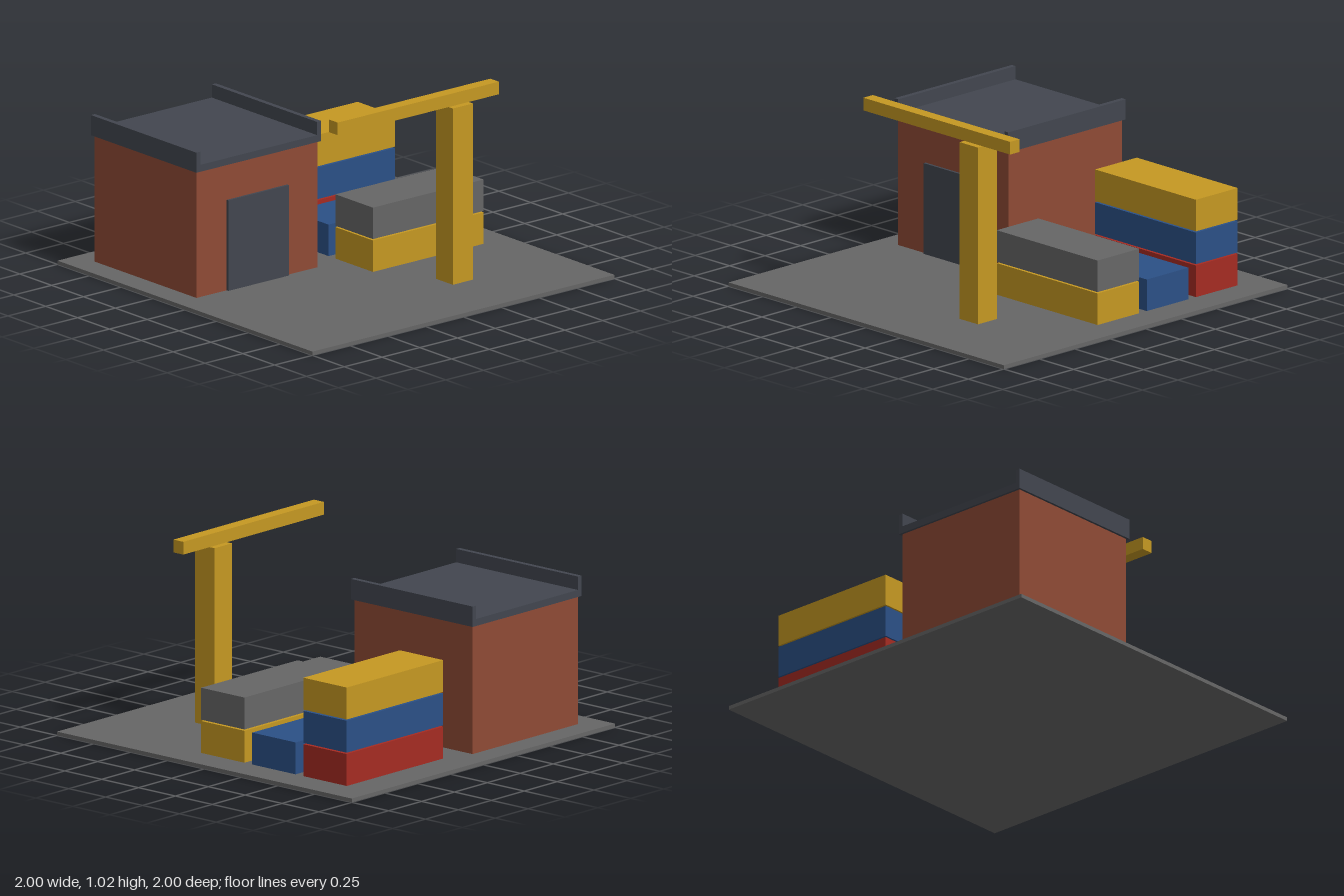
import * as THREE from 'three';

function mat(name, color) {
  const m = new THREE.MeshStandardMaterial({ color });
  m.name = name;
  return m;
}

export function createModel() {
  const grey = mat('concrete grey', 0x666666);
  const slate = mat('slate', 0x42464f);
  const brick = mat('brick', 0x8f4a35);
  const yellow = mat('yellow', 0xc59822);
  const blue = mat('blue', 0x2b5086);
  const red = mat('red', 0xa52b22);

  const model = new THREE.Group();
  model.name = 'freightYard';

  // Box given by its extents on each axis
  function box(parent, name, material, [x0, x1], [y0, y1], [z0, z1]) {
    const mesh = new THREE.Mesh(new THREE.BoxGeometry(x1 - x0, y1 - y0, z1 - z0), material);
    mesh.position.set((x0 + x1) / 2, (y0 + y1) / 2, (z0 + z1) / 2);
    mesh.name = name;
    parent.add(mesh);
  }
  function group(name) {
    const g = new THREE.Group();
    g.name = name;
    model.add(g);
    return g;
  }

  const base = 0.02;
  box(model, 'ground', grey, [-1, 1], [0, base], [-1, 1]);

  // Warehouse with a flat roof and two side parapets
  const warehouse = group('warehouse');
  box(warehouse, 'walls', brick, [-0.867, -0.067], [base, 0.69], [-0.867, -0.067]);
  box(warehouse, 'door', slate, [-0.667, -0.267], [base, 0.5], [-0.067, -0.053]);
  box(warehouse, 'roof', slate, [-0.88, -0.053], [0.69, 0.727], [-0.88, -0.053]);
  box(warehouse, 'leftParapet', slate, [-0.08, -0.053], [0.727, 0.797], [-0.88, -0.053]);
  box(warehouse, 'rightParapet', slate, [-0.88, -0.853], [0.727, 0.797], [-0.88, -0.053]);

  // Container stacks, listed bottom to top, with narrow gaps between layers
  const containers = group('containers');
  const stacks = [
    [-0.667, [red, blue, yellow]],
    [-0.32, [blue]],
    [0.027, [yellow, grey]],
  ];
  for (const [z, layers] of stacks) {
    layers.forEach((material, i) => {
      const y = base + i * 0.174;
      box(containers, 'container', material, [0.097, 0.83], [y, y + 0.167], [z - 0.147, z + 0.147]);
    });
  }
  // The single container row is topped by its own colour only

  // Crane
  const crane = group('crane');
  box(crane, 'mast', yellow, [0.267, 0.4], [base, 0.955], [0.467, 0.6]);
  box(crane, 'jib', yellow, [-0.467, 0.6], [0.955, 1.022], [0.5, 0.567]);

  return model;
}
